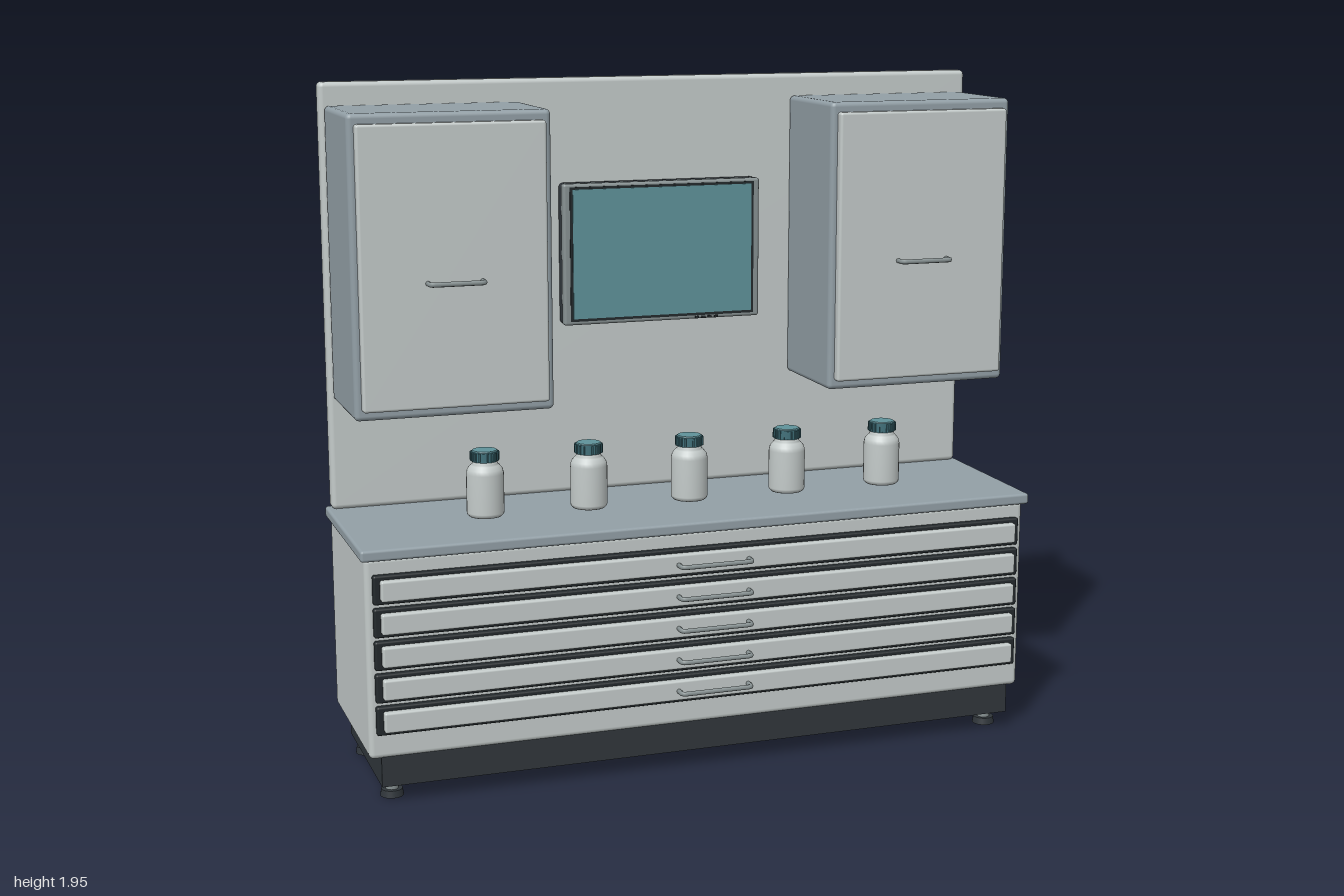
import * as THREE from 'three';
import { RoundedBoxGeometry } from 'three/addons/geometries/RoundedBoxGeometry.js';

const material = (name, color) => {
  const m = new THREE.MeshStandardMaterial({ color });
  m.name = name;
  return m;
};

export function createModel() {
  const model = new THREE.Group();
  model.name = 'workshopCabinet';
  const light = material('light grey', 0xc3cac9);
  const slate = material('slate grey', 0x929fa6);
  const dark = material('charcoal', 0x30363b);
  const trim = material('black trim', 0x22282b);
  const metal = material('metal grey', 0x879192);
  const teal = material('teal', 0x5f929a);
  const capTeal = material('dark teal', 0x3f6f79);

  const add = (parent, name, geometry, mat, x = 0, y = 0, z = 0) => {
    const mesh = new THREE.Mesh(geometry, mat);
    mesh.name = name;
    mesh.position.set(x, y, z);
    parent.add(mesh);
    return mesh;
  };
  // Box given by its limits, with optional rounded edges
  const box = (parent, name, mat, [x0, x1], [y0, y1], [z0, z1], r = 0) => {
    const size = [x1 - x0, y1 - y0, z1 - z0];
    const geometry = r ? new RoundedBoxGeometry(...size, 3, r) : new THREE.BoxGeometry(...size);
    return add(parent, name, geometry, mat, (x0 + x1) / 2, (y0 + y1) / 2, (z0 + z1) / 2);
  };
  const group = (name, x = 0, y = 0, z = 0) => {
    const g = new THREE.Group();
    g.name = name;
    g.position.set(x, y, z);
    model.add(g);
    return g;
  };
  // Bent bar handle standing out along +z
  const handle = (parent, half, depth, x, y, z) => {
    const v = (a, b) => new THREE.Vector3(a, 0, b);
    const b = 0.012;
    const path = new THREE.CurvePath();
    path.add(new THREE.LineCurve3(v(-half, 0), v(-half, depth - b)));
    path.add(new THREE.QuadraticBezierCurve3(v(-half, depth - b), v(-half, depth), v(-half + b, depth)));
    path.add(new THREE.LineCurve3(v(-half + b, depth), v(half - b, depth)));
    path.add(new THREE.QuadraticBezierCurve3(v(half - b, depth), v(half, depth), v(half, depth - b)));
    path.add(new THREE.LineCurve3(v(half, depth - b), v(half, 0)));
    add(parent, 'handle', new THREE.TubeGeometry(path, 60, 0.007, 8), metal, x, y, z);
  };

  // Base, worktop and backboard
  box(model, 'plinth', dark, [-0.955, 0.955], [0.05, 0.14], [-0.215, 0.243]);
  box(model, 'baseCabinet', light, [-0.988, 0.988], [0.133, 0.705], [-0.257, 0.247], 0.015);
  box(model, 'worktop', slate, [-1, 1], [0.699, 0.731], [-0.27, 0.264], 0.008);
  box(model, 'backboard', light, [-0.988, 0.988], [0.73, 1.95], [-0.266, -0.215], 0.014);

  // Levelling feet
  for (const x of [-0.915, 0.915]) for (const z of [-0.18, 0.175]) {
    const foot = group('foot', x, 0, z);
    add(foot, 'footPad', new THREE.CylinderGeometry(0.03, 0.033, 0.02, 24), dark, 0, 0.01, 0);
    add(foot, 'footStem', new THREE.CylinderGeometry(0.018, 0.018, 0.04, 20), metal, 0, 0.035, 0);
  }

  // Shallow drawers
  for (let i = 0; i < 5; i++) {
    const drawer = group('drawer', 0, 0.618 - i * 0.0928, 0);
    box(drawer, 'drawerGasket', trim, [-0.968, 0.968], [-0.041, 0.041], [0.24, 0.264], 0.006);
    box(drawer, 'drawerFront', light, [-0.95, 0.95], [-0.029, 0.029], [0.255, 0.284], 0.006);
    handle(drawer, 0.105, 0.036, 0, 0, 0.28);
  }

  // Wall cupboards
  for (const side of [-1, 1]) {
    const cupboard = group('wallCupboard', side * 0.694, 0, 0);
    box(cupboard, 'cupboardBody', slate, [-0.281, 0.281], [1.053, 1.885], [-0.218, 0.113], 0.014);
    box(cupboard, 'cupboardDoor', light, [-0.262, 0.262], [1.08, 1.857], [0.1, 0.137], 0.008);
    handle(cupboard, 0.076, 0.035, 0, 1.427, 0.135);
  }

  // Monitor set through the backboard
  const monitor = group('monitor', 0, 1.443, 0);
  box(monitor, 'monitorShell', dark, [-0.302, 0.302], [-0.206, 0.206], [-0.282, -0.19], 0.014);
  box(monitor, 'bezel', metal, [-0.302, 0.302], [-0.206, 0.206], [-0.195, -0.165], 0.008);
  box(monitor, 'screenSurround', trim, [-0.283, 0.283], [-0.195, 0.197], [-0.168, -0.163]);
  box(monitor, 'screen', teal, [-0.275, 0.275], [-0.187, 0.19], [-0.166, -0.16]);
  for (let i = 0; i < 4; i++) {
    box(monitor, 'button', trim, [0.1 + i * 0.02, 0.111 + i * 0.02], [-0.204, -0.197], [-0.168, -0.161]);
  }
  // Rear service panel
  box(monitor, 'rearPanel', metal, [-0.225, 0.225], [-0.148, 0.137], [-0.295, -0.275], 0.006);
  box(monitor, 'rearMount', slate, [-0.07, 0.07], [-0.07, 0.072], [-0.32, -0.29], 0.005);
  for (let i = 0; i < 10; i++) {
    const x = -0.153 + i * 0.034;
    box(monitor, 'ventSlot', trim, [x - 0.01, x + 0.01], [0.087, 0.113], [-0.299, -0.293]);
  }
  box(monitor, 'portStrip', trim, [-0.125, 0.125], [-0.127, -0.085], [-0.303, -0.293]);
  for (let i = 0; i < 6; i++) {
    const x = -0.09 + i * 0.036;
    box(monitor, 'port', dark, [x - 0.012, x + 0.012], [-0.115, -0.097], [-0.307, -0.302]);
  }
  for (const x of [-0.195, 0.195]) for (const y of [-0.115, 0.105]) {
    const screw = add(monitor, 'screw', new THREE.CylinderGeometry(0.008, 0.008, 0.008, 12), trim, x, y, -0.297);
    screw.rotation.x = Math.PI / 2;
  }

  // Storage jars with ribbed caps
  const jarProfile = [[0, 0], [0.046, 0], [0.052, 0.006], [0.053, 0.012], [0.053, 0.122], [0.05, 0.135],
    [0.041, 0.146], [0.036, 0.15], [0.036, 0.164], [0, 0.164]].map(p => new THREE.Vector2(...p));
  const jarGeometry = new THREE.LatheGeometry(jarProfile, 28);
  const ribGeometry = new THREE.BoxGeometry(0.005, 0.024, 0.005);
  for (let i = 0; i < 5; i++) {
    const jar = group('jar', -0.606 + i * 0.303, 0.753, 0.07);
    add(jar, 'jarBody', jarGeometry, light);
    add(jar, 'cap', new THREE.CylinderGeometry(0.038, 0.038, 0.028, 28), capTeal, 0, 0.172, 0);
    add(jar, 'capTop', new THREE.CylinderGeometry(0.034, 0.037, 0.004, 28), teal, 0, 0.187, 0);
    for (let k = 0; k < 20; k++) {
      const a = (k / 20) * Math.PI * 2;
      const rib = add(jar, 'capRib', ribGeometry, capTeal, Math.sin(a) * 0.039, 0.172, Math.cos(a) * 0.039);
      rib.rotation.y = a;
    }
  }
  return model;
}
